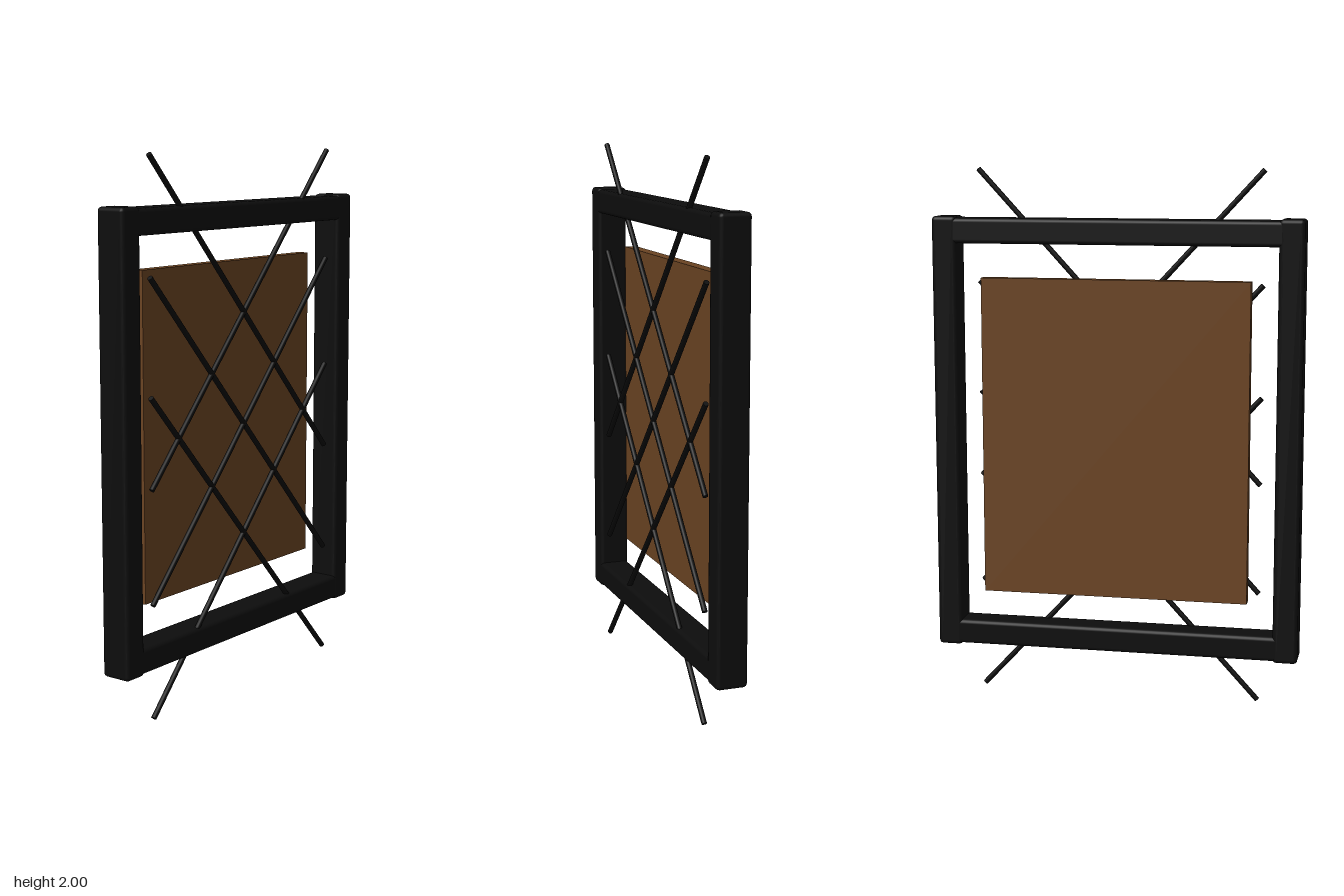
import * as THREE from 'three';
import { RoundedBoxGeometry } from 'three/addons/geometries/RoundedBoxGeometry.js';

export function createModel() {
  const model = new THREE.Group();
  model.name = 'latticePanel';

  const mat = (name, color) => {
    const m = new THREE.MeshStandardMaterial({ color });
    m.name = name;
    return m;
  };
  const frameBlack = mat('frameBlack', 0x0d0d0d);
  const rodBlack = mat('rodBlack', 0x0a0a0a);
  const woodBrown = mat('woodBrown', 0x6b4423);

  const add = (name, geometry, material, x, y, z) => {
    const mesh = new THREE.Mesh(geometry, material);
    mesh.name = name;
    mesh.position.set(x, y, z);
    model.add(mesh);
    return mesh;
  };

  const midY = 1.003;
  const frameZ = 0.003;

  // Frame: two uprights and two slightly shallower rails with eased edges
  const stile = new RoundedBoxGeometry(0.093, 1.637, 0.117, 2, 0.015);
  const rail = new RoundedBoxGeometry(1.27, 0.093, 0.115, 2, 0.015);
  for (const side of [1, -1]) {
    add(side > 0 ? 'leftStile' : 'rightStile', stile, frameBlack, side * 0.643, midY, frameZ);
    add(side > 0 ? 'topRail' : 'bottomRail', rail, frameBlack, 0, midY + side * 0.766, frameZ);
  }

  // Wooden back board
  add('backBoard', new THREE.BoxGeometry(1, 1.19, 0.045), woodBrown, 0, midY, -0.039);

  // Crossed lattice rods, three in each direction
  const halfX = 0.533, halfY = 0.578;
  const rod = new THREE.CylinderGeometry(0.01, 0.01, 2 * Math.hypot(halfX, halfY), 12);
  for (const lean of [1, -1]) {
    for (const step of [-1, 0, 1]) {
      const mesh = add('latticeRod', rod, rodBlack, 0, 1 + step * 0.415, 0.045);
      mesh.rotation.z = lean * Math.atan2(halfX, halfY);
    }
  }

  return model;
}
